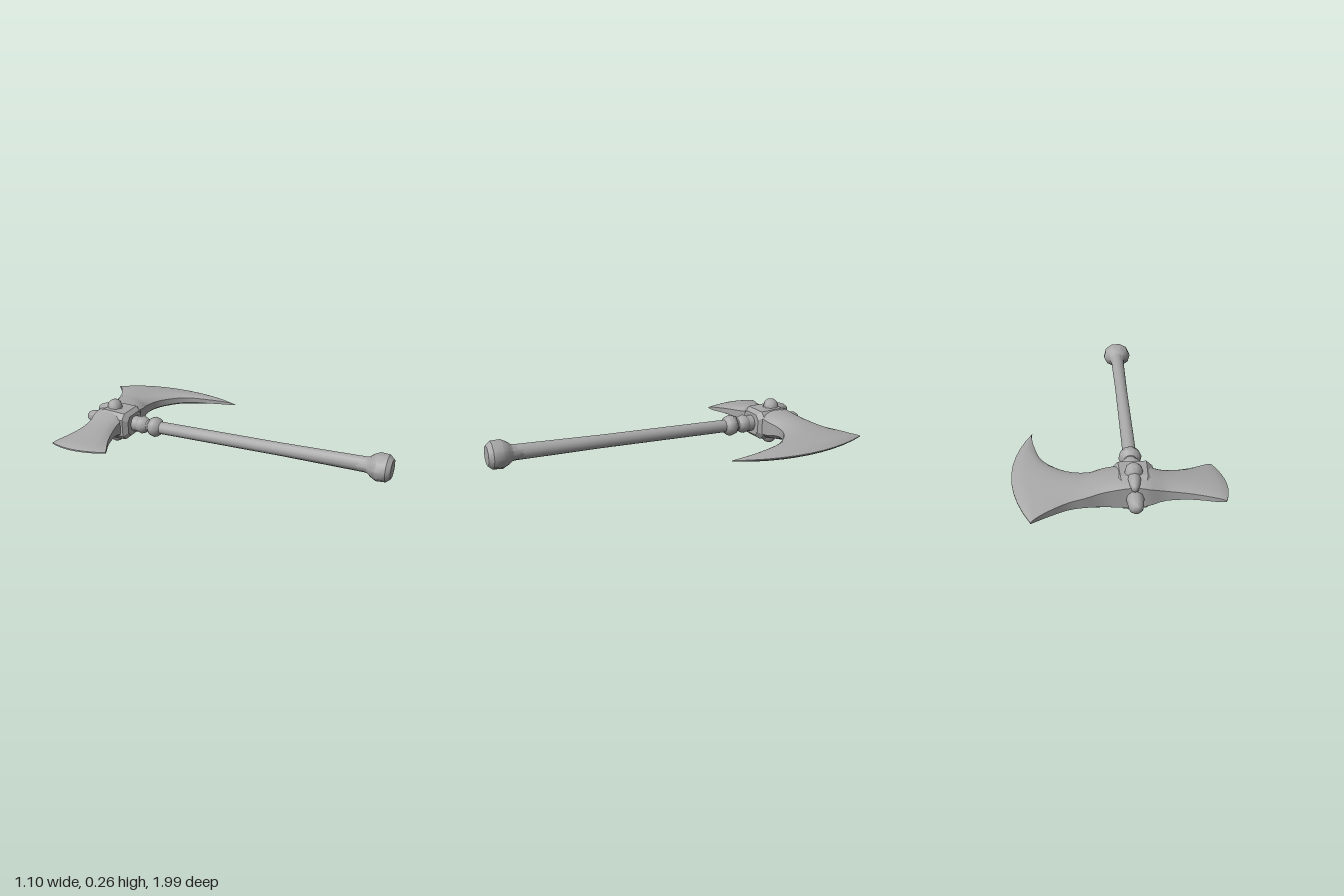
import * as THREE from 'three';
import { toCreasedNormals } from 'three/addons/utils/BufferGeometryUtils.js';

const steel = new THREE.MeshStandardMaterial({ color: 0xa8a8a8 });
steel.name = 'grey steel';

// Closed skin over equal-length rings of [x, y, z], with strip caps at both ends.
function skin(rings, crease) {
  const n = rings[0].length;
  const end = (rings.length - 1) * n;
  const pos = rings.flat(2);
  const idx = [];
  for (let r = 0; r < end; r += n) {
    for (let i = 0; i < n; i++) {
      const a = r + i;
      const b = r + (i + 1) % n;
      idx.push(a, b, b + n, a, b + n, a + n);
    }
  }
  for (let i = 0; i < n / 2 - 1; i++) {
    const [a, b, c, d] = [i, i + 1, n - 2 - i, n - 1 - i];
    idx.push(b, a, d, b, d, c);
    idx.push(end + a, end + b, end + d, end + b, end + c, end + d);
  }
  // Turn the faces outward if the enclosed volume is negative
  const p = (k) => new THREE.Vector3().fromArray(pos, k * 3);
  let volume = 0;
  for (let t = 0; t < idx.length; t += 3) {
    volume += p(idx[t]).dot(p(idx[t + 1]).cross(p(idx[t + 2])));
  }
  if (volume < 0) idx.reverse();
  const geo = new THREE.BufferGeometry();
  geo.setAttribute('position', new THREE.Float32BufferAttribute(pos, 3));
  geo.setIndex(idx);
  return toCreasedNormals(geo, crease);
}

function add(parent, name, geo) {
  const mesh = new THREE.Mesh(geo, steel);
  mesh.name = name;
  parent.add(mesh);
  return mesh;
}

// Smooth lathe around y, from [radius, height] pairs
function turned(points, sides, crease = 0.7) {
  const profile = points.map(([r, y]) => new THREE.Vector2(r, y));
  return toCreasedNormals(new THREE.LatheGeometry(profile, sides, Math.PI / 8), crease);
}

// Stations across the head: back rim x,z; middle x,z; front rim x,z; half thickness at middle and rim; centre y
const stations = [
  [-0.56, -0.65, -0.545, -0.49, -0.455, -0.33, 0.004, 0.003, 0.13],
  [-0.52, -0.648, -0.50, -0.50, -0.425, -0.355, 0.02, 0.01, 0.13],
  [-0.40, -0.645, -0.375, -0.53, -0.35, -0.42, 0.036, 0.016, 0.132],
  [-0.28, -0.665, -0.26, -0.57, -0.24, -0.485, 0.053, 0.026, 0.135],
  [-0.20, -0.70, -0.18, -0.60, -0.16, -0.505, 0.075, 0.045, 0.138],
  [-0.13, -0.715, -0.105, -0.61, -0.08, -0.51, 0.082, 0.055, 0.138],
  [0.00, -0.755, 0.03, -0.65, 0.05, -0.545, 0.072, 0.04, 0.138],
  [0.08, -0.80, 0.11, -0.69, 0.12, -0.582, 0.058, 0.026, 0.14],
  [0.15, -0.845, 0.20, -0.70, 0.24, -0.58, 0.049, 0.02, 0.142],
  [0.21, -0.905, 0.31, -0.68, 0.38, -0.50, 0.042, 0.016, 0.142],
  [0.25, -0.95, 0.39, -0.66, 0.47, -0.36, 0.036, 0.012, 0.14],
  [0.274, -0.985, 0.45, -0.64, 0.52, -0.25, 0.026, 0.007, 0.14],
  [0.28, -1.0, 0.50, -0.63, 0.53, -0.21, 0.003, 0.002, 0.14],
];

// One cross-section: a curved line from rim to rim, thickened up and down
function bladeRing([ax, az, mx, mz, bx, bz, mid, rim, cy]) {
  const N = 10;
  const upper = [];
  const lower = [];
  for (let i = 0; i <= N; i++) {
    const v = i / N;
    const wa = (1 - v) * (1 - 2 * v);
    const wm = 4 * v * (1 - v);
    const wb = v * (2 * v - 1);
    const x = wa * ax + wm * mx + wb * bx;
    const z = wa * az + wm * mz + wb * bz;
    const h = rim + (mid - rim) * Math.pow(wm, 0.7);
    upper.push([x, cy + h, z]);
    lower.unshift([x, cy - h, z]);
  }
  return [...upper, ...lower];
}

// Smooth curve through four values, between b and c
function spline(a, b, c, d, t) {
  const cubic = 3 * (b - c) + d - a;
  const square = 2 * a - 5 * b + 4 * c - d;
  return b + 0.5 * t * (c - a + t * (square + t * cubic));
}

function bladeGeometry() {
  const steps = 3;
  const last = stations.length - 1;
  const rings = [];
  for (let i = 0; i <= last * steps; i++) {
    const s = Math.floor(i / steps);
    const t = (i % steps) / steps;
    const [p0, p1, p2, p3] = [-1, 0, 1, 2].map((k) => stations[THREE.MathUtils.clamp(s + k, 0, last)]);
    rings.push(bladeRing(p1.map((b, k) => spline(p0[k], b, p2[k], p3[k], t))));
  }
  return skin(rings, 0.7);
}

// Chamfered rectangle at height s along the handle
function boxRing(s, w, h, c) {
  const corners = [[w, h - c], [w - c, h], [c - w, h], [-w, h - c],
    [-w, c - h], [c - w, -h], [w - c, -h], [w, c - h]];
  return corners.map(([x, z]) => [x, s, z]);
}

export function createModel() {
  const model = new THREE.Group();
  model.name = 'battleAxe';
  add(model, 'doubleBlade', bladeGeometry());

  // Handle frame: local y runs from pommel to head, local z points up
  const start = new THREE.Vector3(0.315, 0.17, 0.973);
  const dir = new THREE.Vector3(-0.16, 0.13, -0.8).sub(start).normalize();
  const side = new THREE.Vector3().crossVectors(dir, new THREE.Vector3(0, 1, 0)).normalize();
  const up = new THREE.Vector3().crossVectors(side, dir);
  const shaft = new THREE.Group();
  shaft.name = 'shaft';
  shaft.position.copy(start);
  shaft.quaternion.setFromRotationMatrix(new THREE.Matrix4().makeBasis(side, dir, up));
  model.add(shaft);

  add(shaft, 'handle', turned([[0, 0.08], [0.042, 0.08], [0.036, 0.6], [0.036, 1.56], [0, 1.56]], 12));

  // Pommel with a blunt end and a flared neck
  const pommel = add(shaft, 'pommel', turned([[0, 0], [0.06, 0.002], [0.083, 0.025], [0.086, 0.075],
    [0.068, 0.105], [0.05, 0.125], [0.041, 0.18], [0, 0.18]], 10));
  pommel.scale.z = 0.85;

  // Two collar rings below the head
  for (const [s, r] of [[1.375, 0.06], [1.46, 0.053]]) {
    add(shaft, 'collar', turned([[0.034, s - 0.04], [r - 0.007, s - 0.024], [r, s],
      [r - 0.007, s + 0.024], [0.034, s + 0.04]], 10, 1));
  }
  add(shaft, 'neck', turned([[0.045, 1.46], [0.047, 1.55]], 10));

  // Socket block around the handle
  add(shaft, 'socket', skin([
    boxRing(1.515, 0.075, 0.06, 0.025), boxRing(1.54, 0.1, 0.08, 0.03),
    boxRing(1.68, 0.1, 0.088, 0.035), boxRing(1.73, 0.08, 0.062, 0.025)], 0.5));

  // Nub at the top end of the shaft
  add(shaft, 'endNub', turned([[0.048, 1.7], [0.04, 1.77], [0.035, 1.815], [0.022, 1.834], [0, 1.837]], 10, 1));

  // Studs on both faces of the socket, each with a ridge running to the top end
  for (const sign of [1, -1]) {
    const stud = add(shaft, 'stud', turned(
      [[0.052, 0], [0.045, 0.085], [0.038, 0.112], [0.022, 0.127], [0, 0.13]], 10, 1));
    stud.position.set(0, 1.645, 0);
    stud.rotation.x = sign * Math.PI / 2;
    const ridge = add(shaft, 'ridge', new THREE.SphereGeometry(1, 12, 8));
    ridge.scale.set(0.036, 0.09, 0.045);
    ridge.position.set(0, 1.67, sign * 0.06);
  }
  return model;
}
